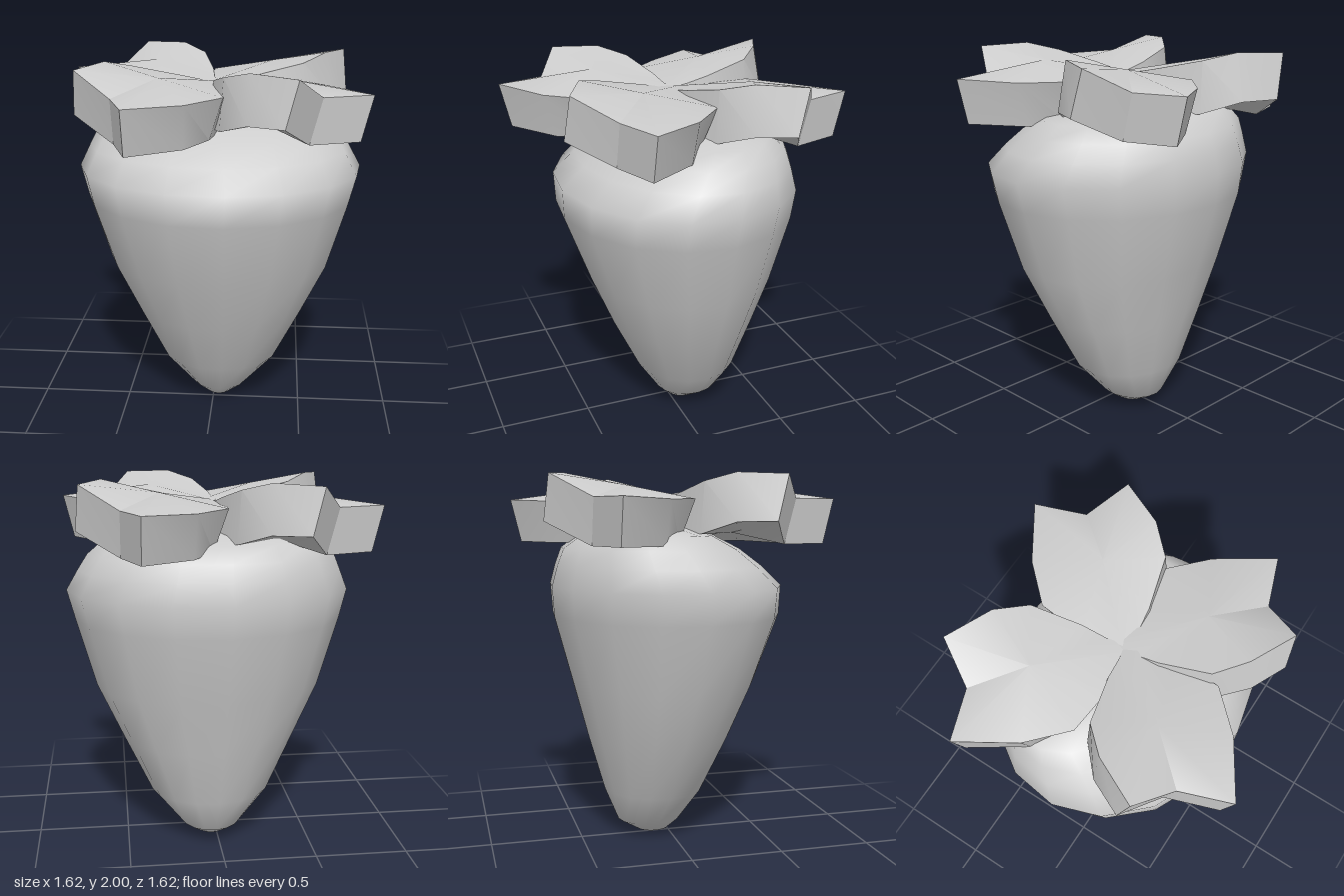
import * as THREE from 'three';
import { toCreasedNormals } from 'three/addons/utils/BufferGeometryUtils.js';

function buildGeometry(points, index) {
  const g = new THREE.BufferGeometry();
  g.setAttribute('position', new THREE.Float32BufferAttribute(points.flat(), 3));
  g.setIndex(index);
  g.computeVertexNormals();
  return g;
}

// Fruit body: elliptical rings lofted from the tip to the shoulders
function fruitGeometry() {
  const sides = 16, phase = -0.08;
  // y, x min, x max, z min, z max
  const rings = [
    [0.0, 0.02, 0.05, -0.1, -0.06],
    [0.012, -0.04, 0.1, -0.17, -0.0],
    [0.08, -0.13, 0.195, -0.285, 0.075],
    [0.27, -0.29, 0.36, -0.365, 0.2],
    [0.58, -0.435, 0.51, -0.455, 0.35],
    [0.88, -0.575, 0.65, -0.535, 0.475],
    [1.25, -0.685, 0.755, -0.635, 0.61],
    [1.41, -0.725, 0.797, -0.645, 0.615],
    [1.52, -0.675, 0.735, -0.615, 0.495],
    [1.61, -0.632, 0.68, -0.58, 0.37],
    [1.68, -0.58, 0.6, -0.485, 0.22],
    [1.72, -0.42, 0.35, -0.37, 0.06],
    [1.735, -0.07, -0.05, -0.2, -0.18],
  ];
  const points = [], index = [];
  rings.forEach(([y, x0, x1, z0, z1], i) => {
    for (let j = 0; j < sides; j++) {
      const a = phase + (j / sides) * Math.PI * 2;
      points.push([
        (x0 + x1) / 2 + ((x1 - x0) / 2) * Math.cos(a),
        y,
        (z0 + z1) / 2 + ((z1 - z0) / 2) * Math.sin(a),
      ]);
      if (i === rings.length - 1) continue;
      const k = (j + 1) % sides, lo = i * sides, hi = lo + sides;
      index.push(lo + j, hi + j, lo + k, lo + k, hi + j, hi + k);
    }
  });
  // close both ends
  const last = (rings.length - 1) * sides;
  for (let j = 1; j < sides - 1; j++) {
    index.push(0, j, j + 1, last, last + j + 1, last + j);
  }
  return buildGeometry(points, index);
}

// Thick, tilted leaf between an upper and a lower outline
function leafGeometry() {
  const top = [
    [0.81, 1.87, 0.39], [0.56, 1.87, 0.48], [0.44, 1.985, 0.675],
    [0.21, 1.995, 0.565], [0.08, 1.955, 0.445], [0.015, 1.9, 0.2],
    [0.0, 1.875, 0.08], [-0.04, 1.86, -0.08], [0.22, 1.853, -0.07],
    [0.46, 1.865, -0.05], [0.64, 1.86, 0.12],
  ];
  const bottom = [
    [0.755, 1.637, 0.39], [0.5, 1.637, 0.48], [0.38, 1.755, 0.695],
    [0.2, 1.752, 0.61], [0.06, 1.69, 0.455], [-0.03, 1.67, 0.2],
    [-0.04, 1.65, 0.08], [-0.06, 1.64, -0.02], [0.2, 1.64, -0.01],
    [0.41, 1.645, 0.02], [0.58, 1.635, 0.13],
  ];
  const n = top.length;
  const points = [...top, ...bottom, [0.33, 1.935, 0.28], [0.28, 1.695, 0.28]];
  const index = [];
  for (let j = 0; j < n; j++) {
    const k = (j + 1) % n;
    index.push(2 * n, k, j);
    index.push(2 * n + 1, n + j, n + k);
    index.push(j, k, n + j, k, n + k, n + j);
  }
  return toCreasedNormals(buildGeometry(points, index), 0.5);
}

export function createModel() {
  const model = new THREE.Group();
  model.name = 'strawberry';
  const grey = new THREE.MeshStandardMaterial({ color: 0xcccccc });
  grey.name = 'plain grey';

  const fruit = new THREE.Mesh(fruitGeometry(), grey);
  fruit.name = 'fruit';
  model.add(fruit);

  // Four leaves, each a quarter turn on, slightly shifted
  const leaf = leafGeometry();
  const crown = new THREE.Group();
  crown.name = 'leafCrown';
  for (let i = 0; i < 4; i++) {
    const mesh = new THREE.Mesh(leaf, grey);
    mesh.name = `leaf${i + 1}`;
    mesh.rotation.y = (-i * Math.PI) / 2;
    if (i % 2) mesh.position.x = 0.03;
    else mesh.position.z = -0.03;
    crown.add(mesh);
  }
  model.add(crown);
  return model;
}
